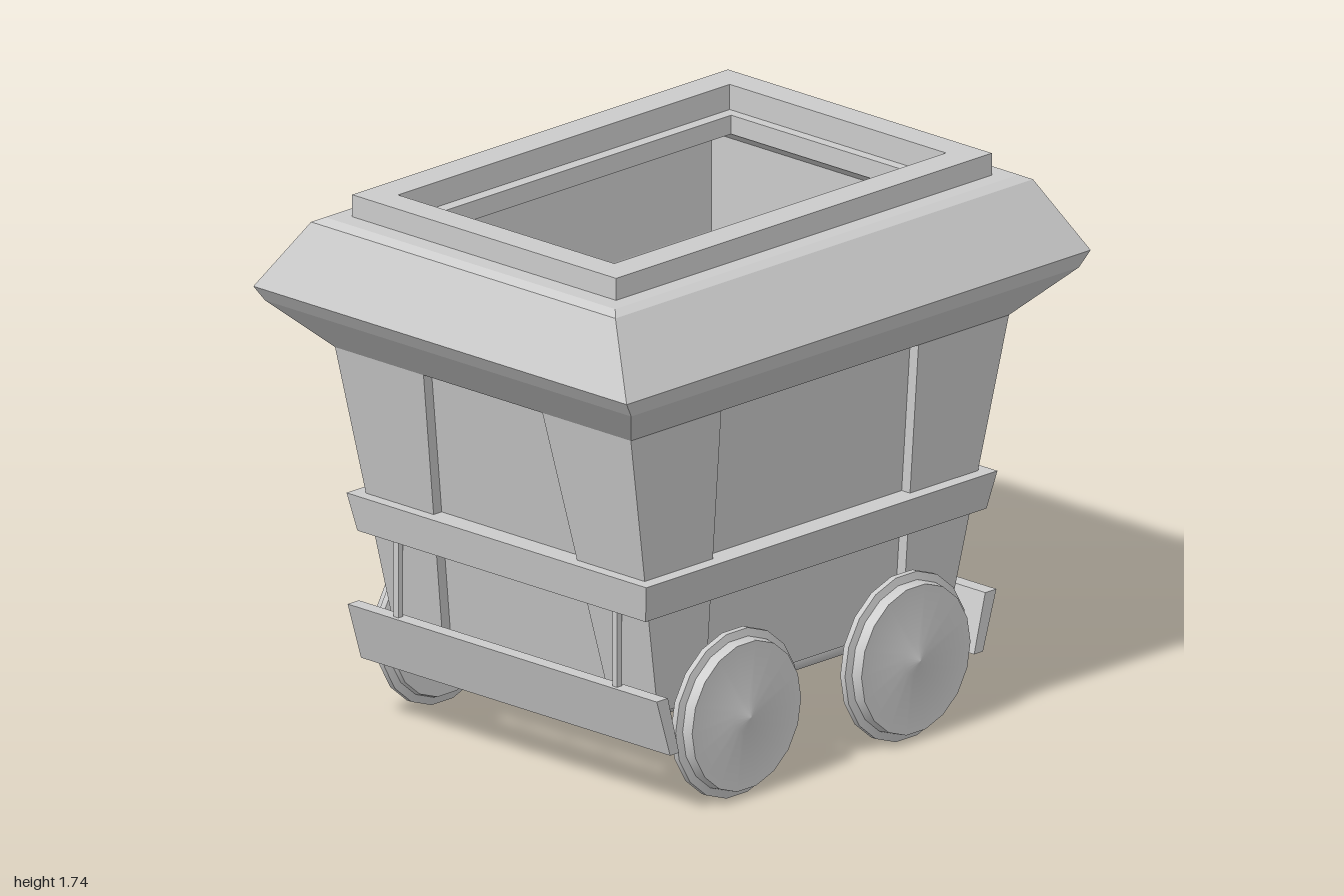
import * as THREE from 'three';
import { toCreasedNormals } from 'three/addons/utils/BufferGeometryUtils.js';

const material = new THREE.MeshStandardMaterial({ color: 0xcccccc });

// Rectangular plan outline, counter-clockwise from above.
const rect = (hx, hz) => [[hx, hz], [hx, -hz], [-hx, -hz], [-hx, hz]];

// Rectangle whose four sides are set back by d between the corner panels.
function recessed(hx, hz, nx, nz, d) {
  return [
    [hx, hz], [hx, nz], [hx - d, nz], [hx - d, -nz], [hx, -nz],
    [hx, -hz], [nx, -hz], [nx, d - hz], [-nx, d - hz], [-nx, -hz],
    [-hx, -hz], [-hx, -nz], [d - hx, -nz], [d - hx, nz], [-hx, nz],
    [-hx, hz], [-nx, hz], [-nx, hz - d], [nx, hz - d], [nx, hz],
  ];
}

// Skin a stack of outlines with flat faces; optionally cap either end.
function loft(sections, capStart = false, capEnd = false) {
  const pos = [];
  const rings = sections.map(({ loop, y }) => loop.map(([x, z]) => [x, y, z]));
  for (let s = 0; s < rings.length - 1; s++) {
    const a = rings[s], b = rings[s + 1];
    for (let i = 0; i < a.length; i++) {
      const j = (i + 1) % a.length;
      pos.push(...a[i], ...a[j], ...b[j], ...a[i], ...b[j], ...b[i]);
    }
  }
  const cap = (ring, flip) => {
    const outline = ring.map(([x, , z]) => new THREE.Vector2(x, -z));
    for (const [p, q, r] of THREE.ShapeUtils.triangulateShape(outline, [])) {
      const order = flip ? [p, r, q] : [p, q, r];
      for (const k of order) pos.push(...ring[k]);
    }
  };
  if (capStart) cap(rings[0], true);
  if (capEnd) cap(rings[rings.length - 1], false);
  const g = new THREE.BufferGeometry();
  g.setAttribute('position', new THREE.Float32BufferAttribute(pos, 3));
  g.computeVertexNormals();
  return g;
}

const rectLoft = (rows, capStart, capEnd) =>
  loft(rows.map(([hx, hz, y]) => ({ loop: rect(hx, hz), y })), capStart, capEnd);

export function createModel() {
  const cart = new THREE.Group();
  cart.name = 'mineCart';
  const add = (name, geometry, x = 0, y = 0, z = 0) => {
    const mesh = new THREE.Mesh(geometry, material);
    mesh.name = name;
    mesh.position.set(x, y, z);
    cart.add(mesh);
    return mesh;
  };

  // Tapered tub with raised corner panels
  add('tub', loft([
    { loop: recessed(0.553, 0.628, 0.35, 0.425, 0.035), y: 0.31 },
    { loop: recessed(0.622, 0.815, 0.25, 0.425, 0.035), y: 1.24 },
  ], true));

  // Flared rim, collar, inner ledge and cavity down to the floor
  add('rimAndCavity', rectLoft([
    [0.56, 0.75, 1.24], [0.622, 0.815, 1.24], [0.77, 0.965, 1.39],
    [0.785, 1.0, 1.44], [0.64, 0.9, 1.655], [0.61, 0.87, 1.67],
    [0.555, 0.81, 1.67], [0.555, 0.81, 1.74], [0.455, 0.715, 1.74],
    [0.455, 0.715, 1.66], [0.415, 0.68, 1.66], [0.415, 0.68, 1.6],
    [0.57, 0.755, 1.55], [0.57, 0.755, 1.24], [0.51, 0.575, 0.36],
  ], false, true));

  // Belt around the middle
  add('belt', rectLoft([
    [0.5, 0.6, 0.64], [0.606, 0.735, 0.64], [0.63, 0.757, 0.76], [0.5, 0.6, 0.76],
  ]));

  // Sloping end beams with the posts holding them
  const beamShape = new THREE.Shape([
    [0.674, 0.21], [0.732, 0.395], [0.684, 0.395], [0.636, 0.21],
  ].map(([z, y]) => new THREE.Vector2(z, y)));
  const beam = new THREE.ExtrudeGeometry(beamShape, { depth: 1.3, bevelEnabled: false });
  beam.translate(0, 0, -0.65);
  const post = new THREE.BoxGeometry(0.02, 0.27, 0.02);
  for (const s of [1, -1]) {
    add('endBeam', beam).rotation.y = -s * Math.PI / 2;
    for (const x of [0.46, -0.46]) add('beamPost', post, x, 0.515, s * 0.708);
  }

  // Long chassis rails
  const rail = new THREE.CylinderGeometry(0.04, 0.04, 1.31, 12).rotateX(Math.PI / 2);
  for (const x of [0.4, -0.4]) add('chassisRail', rail, x, 0.27, 0);

  // Wheels with a raised flange and shallow hub, on thin axles
  const profile = [
    [0, -0.04], [0.235, -0.04], [0.24, -0.025], [0.265, -0.02],
    [0.265, 0], [0.24, 0.005], [0.235, 0.04], [0.05, 0.04], [0, 0.06],
  ].map(([r, x]) => new THREE.Vector2(r, x));
  const wheel = toCreasedNormals(new THREE.LatheGeometry(profile, 18), 0.5);
  const axle = new THREE.CylinderGeometry(0.022, 0.022, 1.22, 10).rotateZ(Math.PI / 2);
  for (const z of [0.365, -0.365]) {
    add('axle', axle, 0, 0.265, z);
    for (const s of [1, -1]) add('wheel', wheel, s * 0.63, 0.265, z).rotation.z = -s * Math.PI / 2;
  }
  return cart;
}
